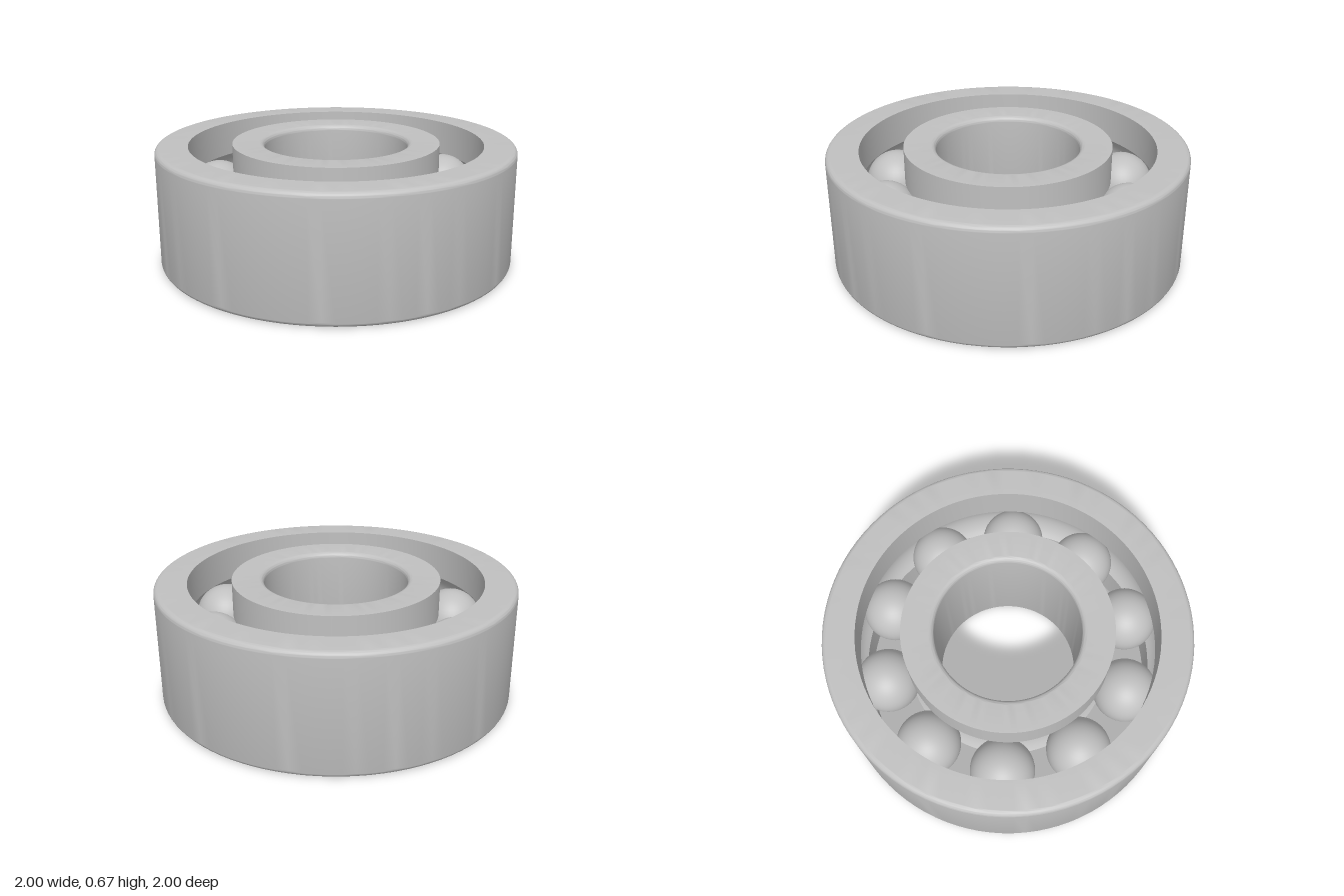
import * as THREE from 'three';
import { toCreasedNormals } from 'three/addons/utils/BufferGeometryUtils.js';

const H = 0.667;         // ring height
const MID = H / 2;
const PITCH = 0.7;       // radius of the circle through the ball centres
const BALL_R = 0.178;
const GROOVE_R = 0.18;
const EDGE = 0.03;       // rounded edge radius
const BALLS = 10;

export function createModel() {
  const steel = new THREE.MeshStandardMaterial({ color: 0xc0c0c0 });
  steel.name = 'steel';
  const bearing = new THREE.Group();
  bearing.name = 'ballBearing';

  const addRing = (name, profile) => {
    const lathe = new THREE.LatheGeometry(profile.getPoints(6), 96);
    const ring = new THREE.Mesh(toCreasedNormals(lathe, 0.6), steel);
    ring.name = name;
    bearing.add(ring);
  };

  // Outer ring: rounded outside edges, ball groove on the inside wall
  const outerWall = 0.82;
  const a = Math.acos((outerWall - PITCH) / GROOVE_R);
  const outer = new THREE.Shape();
  outer.moveTo(outerWall, 0);
  outer.lineTo(1 - EDGE, 0);
  outer.absarc(1 - EDGE, EDGE, EDGE, -Math.PI / 2, 0, false);
  outer.absarc(1 - EDGE, H - EDGE, EDGE, 0, Math.PI / 2, false);
  outer.lineTo(outerWall, H);
  outer.absarc(PITCH, MID, GROOVE_R, a, -a, true);
  outer.lineTo(outerWall, 0);
  addRing('outerRing', outer);

  // Inner ring: ball groove on the outside wall, rounded bore edges
  const innerWall = 0.578, bore = 0.4;
  const b = Math.acos((PITCH - innerWall) / GROOVE_R);
  const inner = new THREE.Shape();
  inner.moveTo(innerWall, 0);
  inner.absarc(PITCH, MID, GROOVE_R, Math.PI + b, Math.PI - b, true);
  inner.lineTo(innerWall, H);
  inner.absarc(bore + EDGE, H - EDGE, EDGE, Math.PI / 2, Math.PI, false);
  inner.absarc(bore + EDGE, EDGE, EDGE, Math.PI, Math.PI * 1.5, false);
  inner.lineTo(innerWall, 0);
  addRing('innerRing', inner);

  // Balls spaced evenly in the groove
  const ballGeometry = new THREE.SphereGeometry(BALL_R, 40, 24);
  for (let i = 0; i < BALLS; i++) {
    const angle = THREE.MathUtils.degToRad(2) + (i / BALLS) * Math.PI * 2;
    const ball = new THREE.Mesh(ballGeometry, steel);
    ball.name = `ball${i + 1}`;
    ball.position.set(Math.cos(angle) * PITCH, MID, Math.sin(angle) * PITCH);
    bearing.add(ball);
  }

  return bearing;
}
